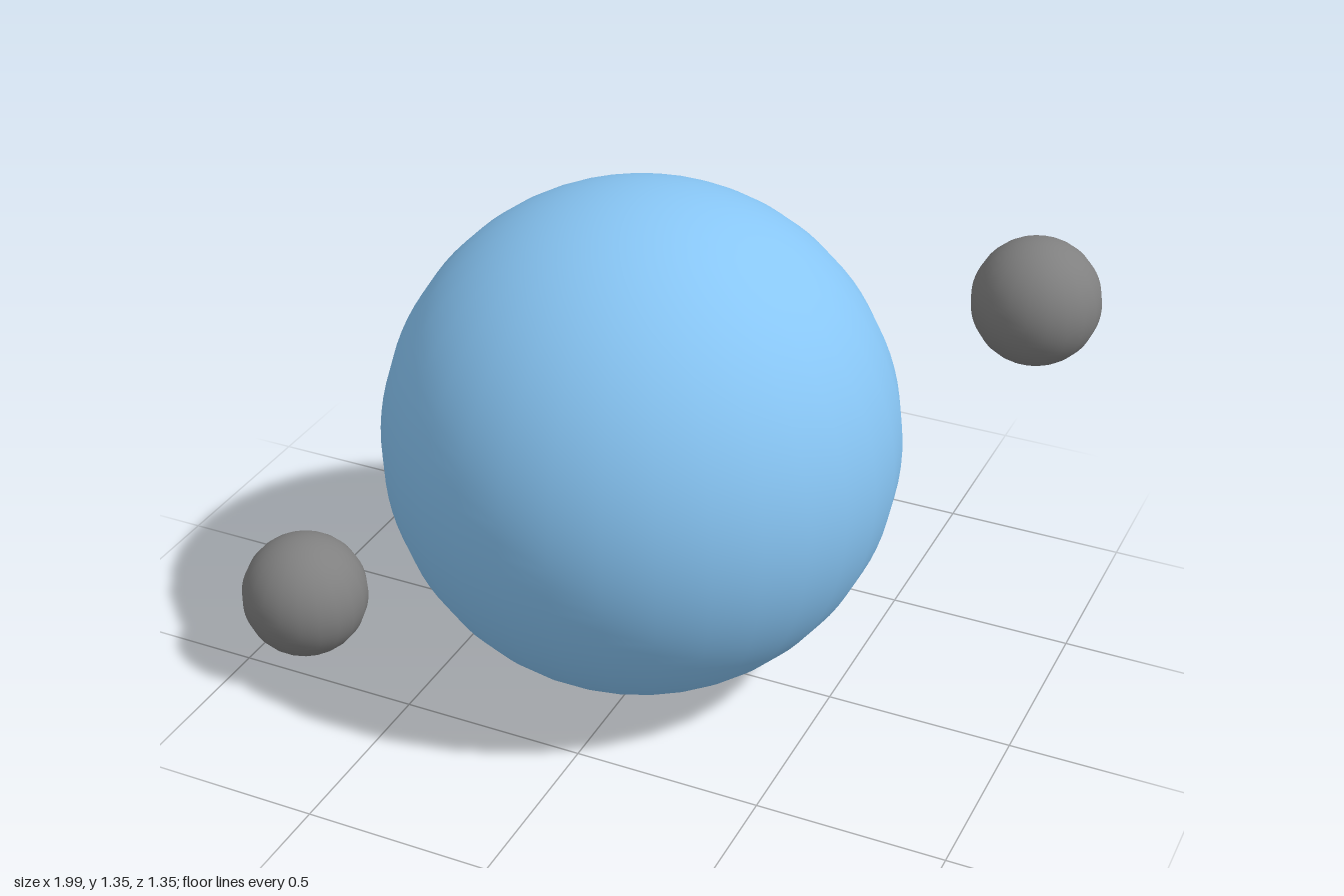
import * as THREE from 'three';

// Smooth sphere, turned half a segment so a flat side faces the front
function ball(name, radius, position, color, sides, rings) {
  const geometry = new THREE.SphereGeometry(radius, sides, rings);
  geometry.rotateY(Math.PI / sides);
  const mesh = new THREE.Mesh(geometry, new THREE.MeshStandardMaterial({ color }));
  mesh.name = name;
  mesh.position.set(...position);
  return mesh;
}

export function createModel() {
  const group = new THREE.Group();
  group.name = 'planetWithMoons';

  // Large central planet
  group.add(ball('planet', 0.677, [-0.05, 0.677, 0], 0x88c6f5, 32, 48));

  // Two small moons on opposite sides: one high at the back, one low at the front
  group.add(ball('upperMoon', 0.168, [0.83, 1.02, -0.51], 0x808080, 20, 32));
  group.add(ball('lowerMoon', 0.168, [-0.833, 0.23, 0.45], 0x808080, 20, 32));

  return group;
}
